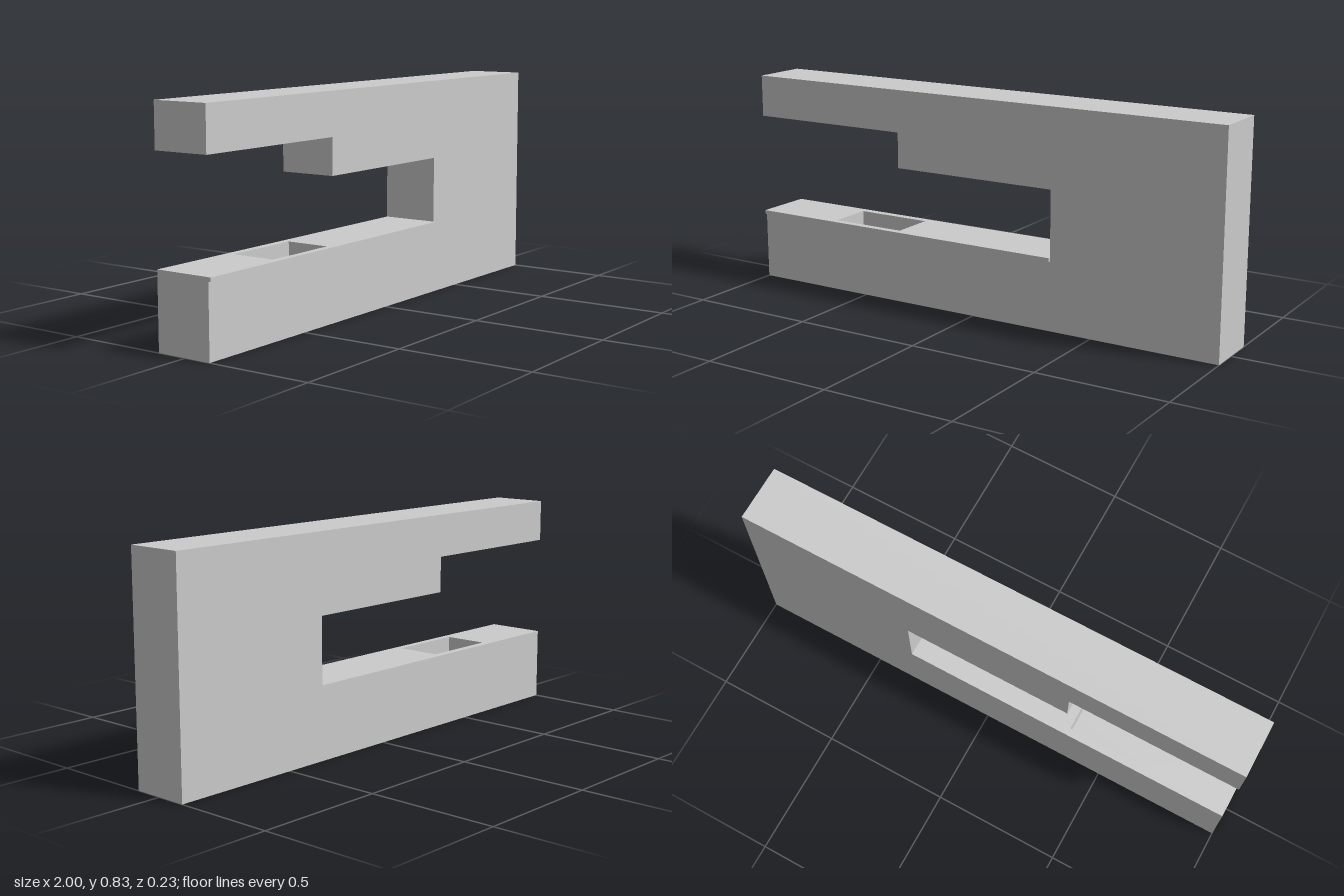
import * as THREE from 'three';

const BACK = -0.115, FRONT = 0.105, LIP_FRONT = 0.115;
const ARM_END = 0.333, STEP_X = -0.335;
const FLOOR = 0.2, PLATE_BOTTOM = 0.265, PLATE_TOP = 0.28;
const POCKET = { x0: -0.65, x1: -0.345, z0: -0.085, z1: 0.087 };

const corners = (x0, x1, z0, z1) =>
  [[x0, -z1], [x1, -z1], [x1, -z0], [x0, -z0]].map(([x, y]) => new THREE.Vector2(x, y));

// Horizontal slab pierced by the rectangular pocket
function piercedSlab(y0, y1, zFront) {
  const shape = new THREE.Shape(corners(-1, ARM_END, BACK, zFront));
  shape.holes.push(new THREE.Path(corners(POCKET.x0, POCKET.x1, POCKET.z0, POCKET.z1)));
  const geometry = new THREE.ExtrudeGeometry(shape, { depth: y1 - y0, bevelEnabled: false });
  return geometry.rotateX(-Math.PI / 2).translate(0, y0, 0);
}

export function createModel() {
  const group = new THREE.Group();
  const material = new THREE.MeshStandardMaterial({ color: 0xcccccc, flatShading: true });
  const add = (name, geometry) => {
    const mesh = new THREE.Mesh(geometry, material);
    mesh.name = name;
    group.add(mesh);
  };

  // Slab frame with a stepped slot; the lower arm stops at the pocket floor
  const profile = new THREE.Shape([
    [-1, 0], [1, 0], [1, 0.833], [-1, 0.833], [-1, 0.67], [STEP_X, 0.67],
    [STEP_X, 0.532], [ARM_END, 0.532], [ARM_END, FLOOR], [-1, FLOOR],
  ].map(([x, y]) => new THREE.Vector2(x, y)));
  const frame = new THREE.ExtrudeGeometry(profile, { depth: FRONT - BACK, bevelEnabled: false });
  add('frame', frame.translate(0, 0, BACK));

  // Upper part of the lower arm, surrounding the pocket
  add('pocketWalls', piercedSlab(FLOOR, PLATE_BOTTOM, FRONT));

  // Thin top plate with a lip overhanging the front
  add('topPlate', piercedSlab(PLATE_BOTTOM, PLATE_TOP, LIP_FRONT));

  return group;
}
